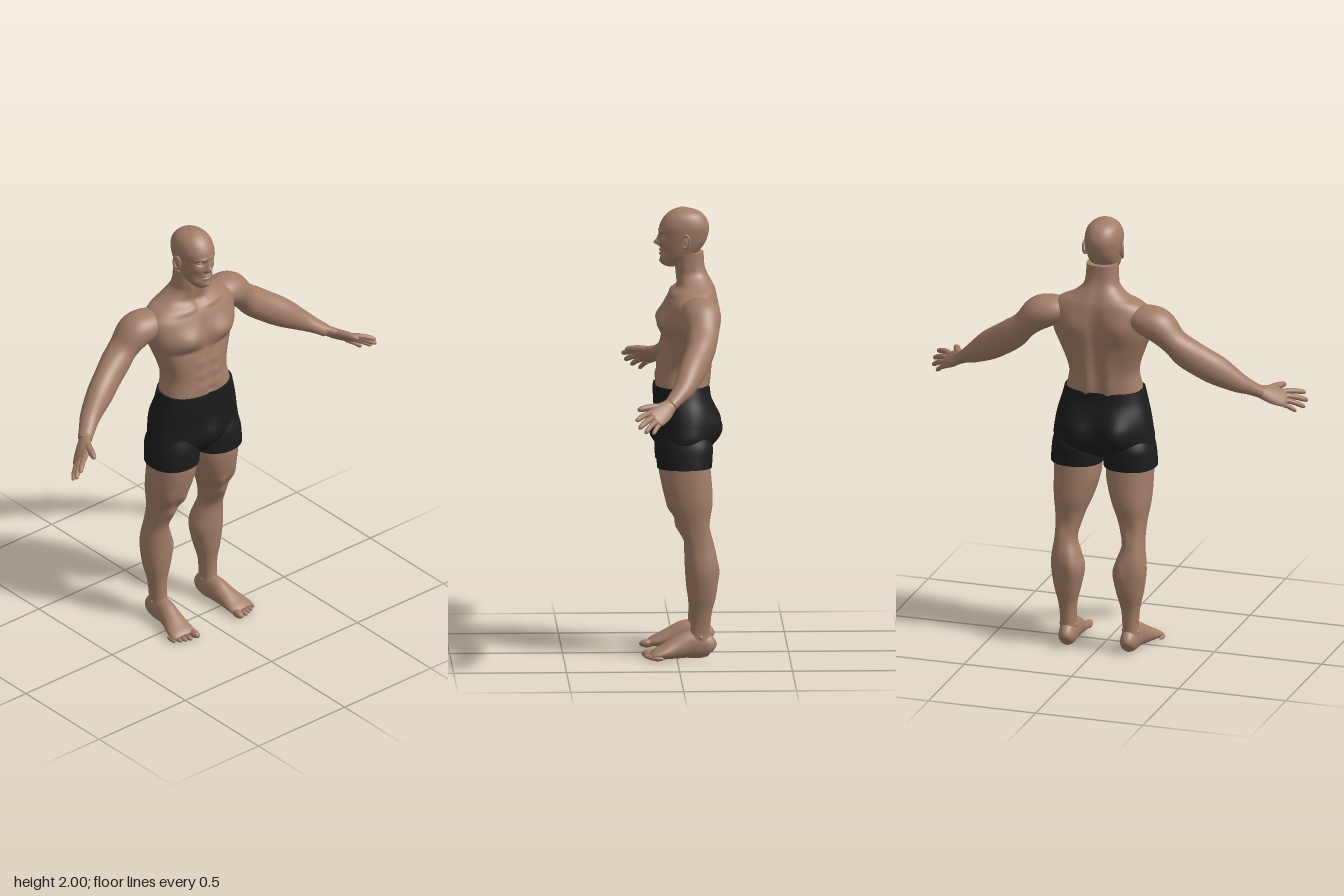
import * as THREE from 'three';

const skin = new THREE.MeshStandardMaterial({ color: 0xa37d68 });
skin.name = 'skin';
const cloth = new THREE.MeshStandardMaterial({ color: 0x1c1c1c });
cloth.name = 'black cloth';

// Smooth interpolation through the rows of a section table, t from 0 to 1
function sample(rows, t) {
  const f = THREE.MathUtils.clamp(t, 0, 1) * (rows.length - 1);
  const i = Math.min(Math.floor(f), rows.length - 2), k = f - i;
  const at = (n) => rows[THREE.MathUtils.clamp(n, 0, rows.length - 1)];
  return rows[0].map((_, c) => {
    const a = at(i - 1)[c], b = at(i)[c], d = at(i + 1)[c], e = at(i + 2)[c];
    return b + 0.5 * k * (d - a + k * (2 * a - 5 * b + 4 * d - e + k * (3 * (b - d) + e - a)));
  });
}

// Closed skin over rings; point(t, angle) gives each vertex
function loft(rings, sides, point) {
  const pos = [], index = [];
  for (let i = 0; i <= rings; i++) {
    for (let j = 0; j < sides; j++) pos.push(...point(i / rings, (j / sides) * Math.PI * 2));
  }
  for (let i = 0; i < rings; i++) {
    for (let j = 0; j < sides; j++) {
      const a = i * sides + j, b = i * sides + ((j + 1) % sides);
      index.push(a, a + sides, b, b, a + sides, b + sides);
    }
  }
  for (const end of [0, rings]) {
    const start = pos.length / 3, mid = [0, 0, 0];
    for (let j = 0; j < sides; j++) {
      const p = pos.slice((end * sides + j) * 3, (end * sides + j) * 3 + 3);
      pos.push(...p);
      p.forEach((v, c) => { mid[c] += v / sides; });
    }
    pos.push(...mid);
    for (let j = 0; j < sides; j++) {
      const a = start + j, b = start + ((j + 1) % sides), m = start + sides;
      index.push(m, end ? b : a, end ? a : b);
    }
  }
  const geo = new THREE.BufferGeometry();
  geo.setAttribute('position', new THREE.Float32BufferAttribute(pos, 3));
  geo.setIndex(index);
  geo.computeVertexNormals();
  return geo;
}

// Level sections [y, centre x, half width, front z, back z]; bumps [x, y, spread x, spread y, push z, side]
function body(rows, rings, sides, bumps = [], power = 0.9) {
  const bend = (v) => Math.sign(v) * Math.abs(v) ** power;
  return loft(rings, sides, (t, a) => {
    const [y, cx, rx, zf, zb] = sample(rows, t);
    const s = Math.sin(a), x = cx + Math.max(rx, 0.002) * bend(Math.cos(a));
    let z = (zf + zb) / 2 + ((zf - zb) / 2) * bend(s);
    for (const [bx, by, sx, sy, push, side] of bumps) {
      const w = Math.sqrt(Math.max(0, side * s));
      z += w * push * Math.exp(-(((Math.abs(x) - bx) / sx) ** 2) - ((y - by) / sy) ** 2);
    }
    return [x, y, z];
  });
}

// Sections across a path [x, y, z, radius along ref, radius across]
function limb(rows, rings, sides, ref = new THREE.Vector3(0, 1, 0)) {
  return loft(rings, sides, (t, a) => {
    const [x, y, z, ru, rv] = sample(rows, t);
    const p = sample(rows, t - 0.02), q = sample(rows, t + 0.02);
    const T = new THREE.Vector3(q[0] - p[0], q[1] - p[1], q[2] - p[2]).normalize();
    const u = ref.clone().addScaledVector(T, -ref.dot(T)).normalize();
    const v = u.clone().cross(T);
    const o = u.multiplyScalar(Math.cos(a) * Math.max(ru, 0.001)).addScaledVector(v, Math.sin(a) * Math.max(rv, 0.001));
    return [x + o.x, Math.max(0, y + o.y), z + o.z];
  });
}

// Tapered rounded digit from base to tip with a slight bend
function digit(base, tip, r, lift) {
  const row = (k, s) => [...base.map((b, c) => b + (tip[c] - b) * k + (c === 1 ? lift * Math.sin(k * Math.PI) : 0)), r * s, r * s];
  return limb([row(0, 0.9), row(0.25, 1.05), row(0.5, 1), row(0.75, 0.95), row(0.92, 0.75), row(0.985, 0.4), row(1, 0.05)], 18, 12);
}

function ellipsoid(x, y, z, rx, ry, rz) {
  return new THREE.SphereGeometry(1, 20, 14).scale(rx, ry, rz).translate(x, y, z);
}

function mirrored(geo) {
  const g = geo.clone().scale(-1, 1, 1), ix = g.index.array;
  for (let i = 0; i < ix.length; i += 3) [ix[i], ix[i + 1]] = [ix[i + 1], ix[i]];
  g.computeVertexNormals();
  return g;
}

export function createModel() {
  const model = new THREE.Group();
  model.name = 'athletic figure';
  const add = (name, geo, mat = skin) => {
    const mesh = new THREE.Mesh(geo, mat);
    mesh.name = name;
    model.add(mesh);
  };
  const pair = (name, geo, mat) => {
    add('left ' + name, geo, mat);
    add('right ' + name, mirrored(geo), mat);
  };

  // Torso and neck: chest, abdominal and back muscles
  const abs = [1.25, 1.31, 1.37].map((y) => [0.038, y, 0.026, 0.024, 0.008, 1]);
  add('torso', body([
    [1.15, 0, 0.165, 0.08, -0.14], [1.2, 0, 0.172, 0.09, -0.145], [1.28, 0, 0.157, 0.082, -0.15],
    [1.34, 0, 0.168, 0.075, -0.16], [1.42, 0, 0.198, 0.066, -0.175], [1.48, 0, 0.222, 0.068, -0.185],
    [1.54, 0, 0.232, 0.058, -0.188], [1.59, 0, 0.23, 0.04, -0.185], [1.63, 0, 0.19, 0.015, -0.178],
    [1.66, 0, 0.13, -0.008, -0.165], [1.7, 0, 0.083, -0.006, -0.145], [1.74, 0, 0.073, 0, -0.13], [1.8, 0, 0.07, 0, -0.125],
  ], 80, 72, [
    ...abs, [0.1, 1.5, 0.075, 0.045, 0.028, 1], [0, 1.5, 0.014, 0.08, -0.012, 1], [0, 1.3, 0.01, 0.11, -0.006, 1],
    [0.1, 1.43, 0.07, 0.014, -0.008, 1], [0.08, 1.625, 0.07, 0.012, 0.008, 1], [0, 1.64, 0.02, 0.02, -0.014, 1],
    [0, 1.225, 0.01, 0.01, -0.01, 1], [0.035, 1.7, 0.014, 0.06, 0.008, 1],
    [0, 1.42, 0.024, 0.2, -0.022, -1].map((v, c) => (c === 4 ? -v : v)), [0.12, 1.53, 0.06, 0.06, -0.018, -1],
    [0.05, 1.27, 0.03, 0.1, -0.01, -1],
  ], 0.85));

  // Head with sculpted brow, eye sockets, nose, lips and chin
  add('head', body([
    [1.735, 0, 0.015, 0.035, 0.005], [1.745, 0, 0.036, 0.056, -0.02], [1.77, 0, 0.055, 0.066, -0.06],
    [1.8, 0, 0.067, 0.066, -0.1], [1.84, 0, 0.075, 0.067, -0.13], [1.88, 0, 0.08, 0.07, -0.145],
    [1.92, 0, 0.082, 0.07, -0.148], [1.96, 0, 0.071, 0.048, -0.13], [1.985, 0, 0.047, 0.018, -0.098], [1.999, 0, 0.012, -0.015, -0.05],
  ], 110, 96, [
    [0, 1.842, 0.011, 0.013, 0.024, 1], [0, 1.862, 0.009, 0.022, 0.012, 1], [0.012, 1.837, 0.008, 0.008, 0.008, 1],
    [0.03, 1.896, 0.024, 0.009, 0.009, 1], [0.032, 1.876, 0.017, 0.011, -0.014, 1], [0.048, 1.845, 0.016, 0.016, 0.006, 1],
    [0, 1.809, 0.02, 0.006, 0.008, 1], [0, 1.794, 0.018, 0.006, 0.008, 1], [0, 1.802, 0.024, 0.003, -0.006, 1],
    [0, 1.76, 0.02, 0.012, 0.008, 1], [0.045, 1.805, 0.015, 0.02, -0.006, 1],
  ], 0.92));
  pair('eye', ellipsoid(0.031, 1.876, 0.046, 0.013, 0.008, 0.011));
  const rim = new THREE.TorusGeometry(0.02, 0.006, 10, 24).scale(0.85, 1.4, 1).rotateY(Math.PI / 2 - 0.35).translate(0.086, 1.857, -0.043);
  pair('ear rim', rim);
  pair('ear bowl', ellipsoid(0.081, 1.855, -0.042, 0.007, 0.026, 0.016));

  // Shoulders and arms
  pair('arm', limb([
    [0.16, 1.57, -0.09, 0.05, 0.07], [0.22, 1.565, -0.1, 0.068, 0.085], [0.28, 1.545, -0.107, 0.075, 0.085],
    [0.345, 1.485, -0.108, 0.06, 0.07], [0.4, 1.435, -0.098, 0.068, 0.066], [0.455, 1.395, -0.08, 0.069, 0.061],
    [0.53, 1.345, -0.05, 0.066, 0.058], [0.61, 1.29, -0.015, 0.047, 0.047], [0.66, 1.257, 0.02, 0.033, 0.038], [0.7, 1.23, 0.05, 0.027, 0.032],
  ], 60, 40));

  // Hands: flattened palm with fanned digits
  const across = new THREE.Vector3(-0.24, 0.6, 0.7);
  pair('palm', limb([
    [0.68, 1.243, 0.036, 0.028, 0.025], [0.705, 1.228, 0.055, 0.034, 0.023], [0.735, 1.212, 0.08, 0.045, 0.022],
    [0.77, 1.195, 0.107, 0.047, 0.018], [0.79, 1.185, 0.122, 0.043, 0.014], [0.798, 1.181, 0.128, 0.03, 0.006],
  ], 24, 28, across));
  const fingers = {
    'index finger': [[0.772, 1.211, 0.133], [0.858, 1.192, 0.205], 0.0125],
    'middle finger': [[0.782, 1.196, 0.121], [0.872, 1.16, 0.193], 0.013],
    'ring finger': [[0.785, 1.181, 0.108], [0.868, 1.138, 0.165], 0.012],
    'little finger': [[0.78, 1.167, 0.092], [0.838, 1.126, 0.13], 0.0105],
    thumb: [[0.715, 1.228, 0.075], [0.768, 1.225, 0.195], 0.0155],
  };
  for (const [name, [base, tip, r]] of Object.entries(fingers)) pair(name, digit(base, tip, r, 0.006));

  // Shorts: seat with glutes, then two leg openings
  add('shorts seat', body([
    [0.885, 0, 0.08, 0.03, -0.07], [0.92, 0, 0.195, 0.065, -0.13], [0.97, 0, 0.229, 0.084, -0.155], [1.04, 0, 0.222, 0.088, -0.165],
    [1.1, 0, 0.21, 0.095, -0.165], [1.16, 0, 0.193, 0.1, -0.155], [1.21, 0, 0.18, 0.1, -0.15],
  ], 50, 72, [[0.095, 1.02, 0.075, 0.08, -0.05, -1], [0, 1, 0.06, 0.065, 0.03, 1]], 0.85), cloth);
  pair('shorts leg', body([
    [0.855, 0.123, 0.118, 0.086, -0.157], [0.9, 0.122, 0.116, 0.088, -0.16], [0.95, 0.122, 0.11, 0.084, -0.16], [1.0, 0.12, 0.1, 0.07, -0.14],
  ], 16, 48), cloth);

  // Legs: ankle, calf, knee and thigh
  pair('leg', body([
    [0.04, 0.145, 0.035, -0.05, -0.14], [0.08, 0.145, 0.038, -0.05, -0.148], [0.12, 0.145, 0.035, -0.06, -0.148], [0.2, 0.146, 0.041, -0.062, -0.155],
    [0.28, 0.145, 0.06, -0.052, -0.175], [0.37, 0.143, 0.075, -0.046, -0.184], [0.43, 0.15, 0.066, -0.044, -0.182],
    [0.5, 0.157, 0.05, -0.04, -0.165], [0.56, 0.151, 0.055, -0.018, -0.155], [0.62, 0.144, 0.067, 0.002, -0.15], [0.7, 0.133, 0.088, 0.045, -0.16],
    [0.8, 0.122, 0.103, 0.07, -0.155], [0.9, 0.12, 0.105, 0.075, -0.145],
  ], 80, 44, [
    [0.148, 0.595, 0.028, 0.03, 0.014, 1], [0.105, 0.66, 0.025, 0.04, 0.014, 1], [0.19, 0.68, 0.02, 0.045, 0.01, 1],
    [0.11, 0.38, 0.025, 0.06, -0.01, -1], [0.15, 0.57, 0.03, 0.04, 0.008, -1],
  ]));
  pair('ankle bones', ellipsoid(0.145, 0.095, -0.105, 0.042, 0.02, 0.02));

  // Feet with flat soles and five toes
  pair('foot', limb([
    [0.143, 0.038, -0.165, 0.016, 0.016], [0.143, 0.046, -0.152, 0.042, 0.032], [0.144, 0.058, -0.11, 0.06, 0.04],
    [0.147, 0.06, -0.05, 0.06, 0.042], [0.156, 0.044, 0.01, 0.046, 0.049], [0.165, 0.03, 0.06, 0.032, 0.059],
    [0.17, 0.022, 0.095, 0.022, 0.062], [0.172, 0.018, 0.115, 0.012, 0.055],
  ], 40, 36));
  for (let i = 0; i < 5; i++) {
    const r = i ? 0.0125 - i * 0.0006 : 0.018;
    const x = i ? 0.138 + i * 0.0225 : 0.127;
    const z = 0.122 - i * i * 0.0022;
    pair('toe ' + (i + 1), ellipsoid(x, r, z, r, r, i ? 0.028 : 0.034));
  }
  return model;
}
